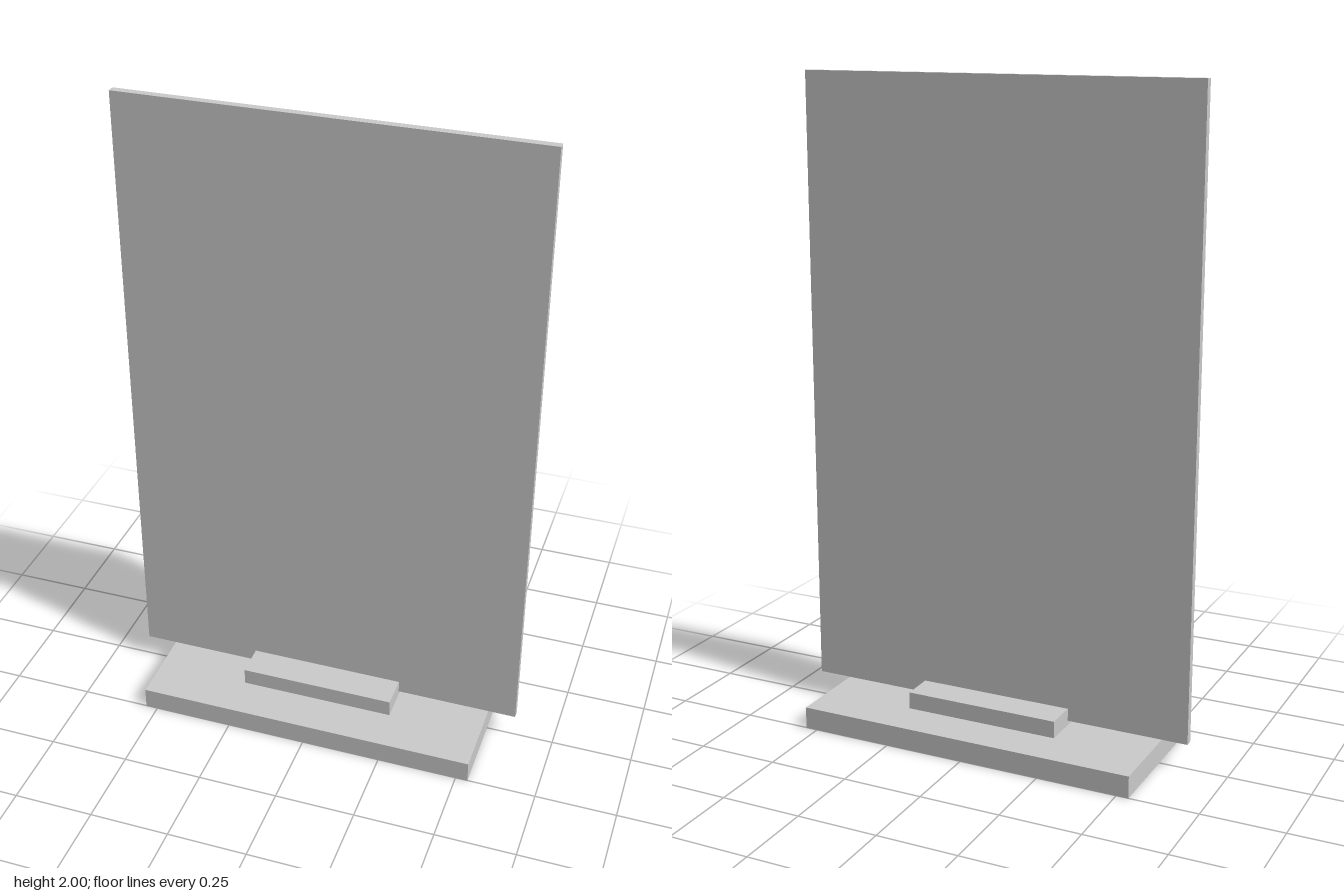
import * as THREE from 'three';

export function createModel() {
  const group = new THREE.Group();
  const material = new THREE.MeshStandardMaterial({ color: 0xcccccc });

  // Box centred on x and z, spanning bottom to top in y
  const addBox = (name, width, bottom, top, depth) => {
    const mesh = new THREE.Mesh(new THREE.BoxGeometry(width, top - bottom, depth), material);
    mesh.name = name;
    mesh.position.y = (bottom + top) / 2;
    group.add(mesh);
  };

  // Foot plate on the ground
  addBox('base', 1.076, 0, 0.068, 0.502);
  // Clamp block that holds the panel just above the base
  addBox('panelHolder', 0.49, 0.068, 0.121, 0.23);
  // Thin upright panel
  addBox('panel', 1.256, 0.082, 2, 0.024);

  return group;
}
